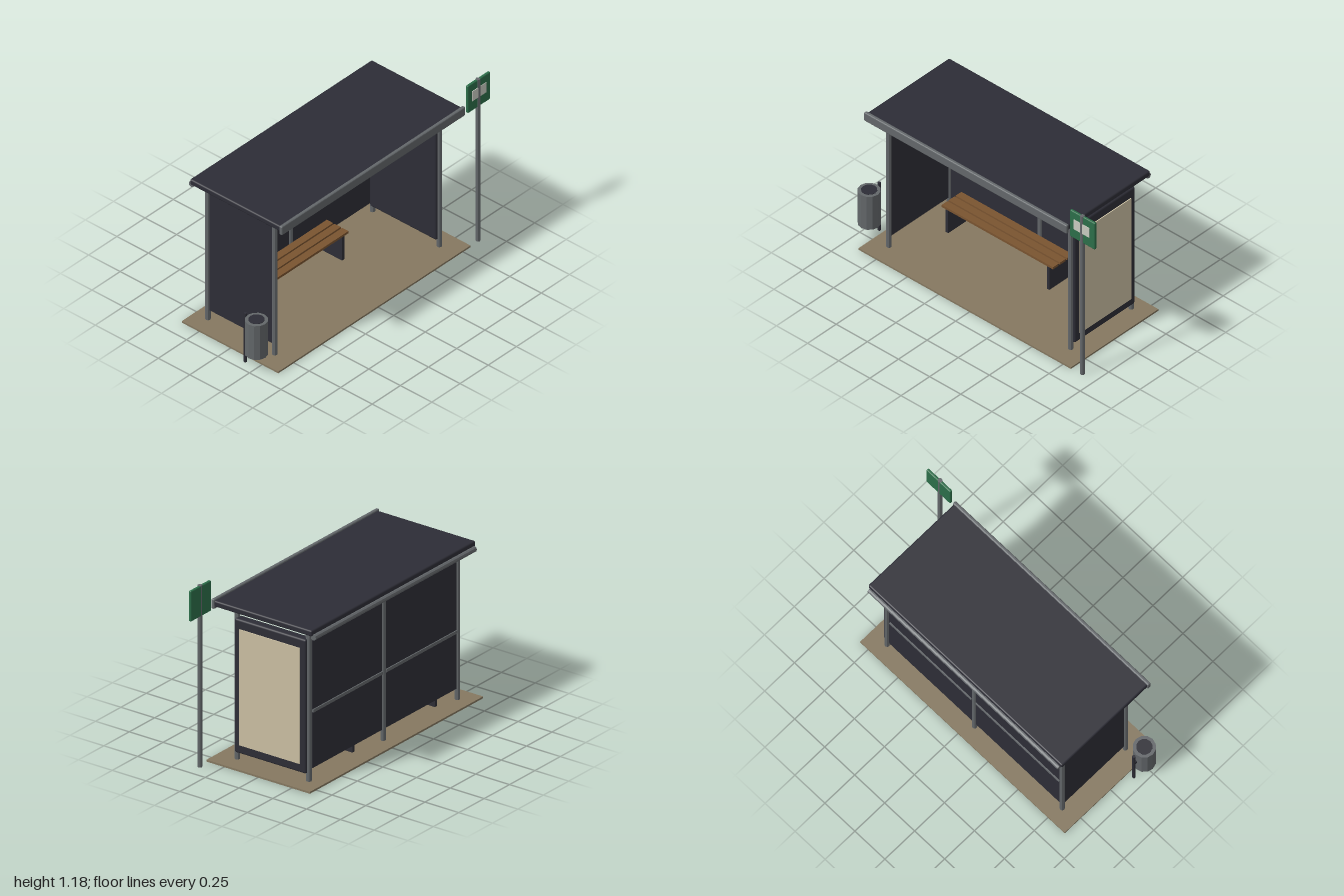
import * as THREE from 'three';
import { RoundedBoxGeometry } from 'three/addons/geometries/RoundedBoxGeometry.js';

const mat = (name, color) => {
  const m = new THREE.MeshStandardMaterial({ color });
  m.name = name;
  return m;
};

export function createModel() {
  const root = new THREE.Group();
  root.name = 'busShelter';

  const dark = mat('charcoal', 0x2d2d36);
  const steel = mat('steelGrey', 0x63676a);
  const paving = mat('paving', 0x857860);
  const paper = mat('posterCream', 0xcabfa2);
  const white = mat('offWhite', 0xc8cac0);
  const green = mat('signGreen', 0x2c6e49);
  const wood = mat('wood', 0x7a5430);
  [steel, green].forEach((m) => { m.flatShading = true; });

  const add = (name, geo, material, x, y, z, parent = root) => {
    const mesh = new THREE.Mesh(geo, material);
    mesh.name = name;
    mesh.position.set(x, y, z);
    parent.add(mesh);
    return mesh;
  };
  // Box given by its extents on each axis
  const span = (name, material, [x0, x1], [y0, y1], [z0, z1], round = 0, parent = root) => {
    const size = [x1 - x0, y1 - y0, z1 - z0];
    const geo = round ? new RoundedBoxGeometry(...size, 2, round) : new THREE.BoxGeometry(...size);
    return add(name, geo, material, (x0 + x1) / 2, (y0 + y1) / 2, (z0 + z1) / 2, parent);
  };
  const rod = (name, material, r, x, y0, y1, z, sides = 8, parent = root) =>
    add(name, new THREE.CylinderGeometry(r, r, y1 - y0, sides), material, x, (y0 + y1) / 2, z, parent);

  // Ground slab
  span('groundSlab', paving, [-0.89, 0.815], [0, 0.012], [-0.385, 0.38]);

  // Posts: four corners and one in the middle of the back
  const backZ = -0.285, frontZ = 0.245;
  [[-0.77, frontZ], [0.69, frontZ], [-0.77, backZ], [-0.04, backZ], [0.69, backZ]].forEach(
    ([x, z]) => rod('post', steel, 0.0165, x, 0, 1.0, z));

  // Roof with front fascia and rear gutter
  span('roof', dark, [-0.845, 0.77], [0.996, 1.035], [-0.364, 0.365], 0.01);
  span('fascia', steel, [-0.853, 0.776], [0.982, 1.045], [0.352, 0.376], 0.008);
  const gutter = add('gutter', new THREE.CylinderGeometry(0.019, 0.019, 1.585, 10), steel, -0.037, 0.988, -0.366);
  gutter.rotation.z = Math.PI / 2;

  // Rear header, middle rail and wall panels
  span('rearHeader', steel, [-0.785, 0.705], [0.946, 0.996], [backZ - 0.015, backZ + 0.015]);
  [[-0.753, -0.057], [-0.023, 0.66]].forEach((xs) => {
    span('backPanel', dark, xs, [0.085, 0.936], [backZ - 0.005, backZ + 0.005]);
    span('middleRail', steel, xs, [0.447, 0.467], [backZ - 0.012, backZ + 0.012]);
  });
  span('leftPanel', dark, [-0.775, -0.765], [0.085, 0.936], [-0.27, 0.23]);

  // Advertising case on the left-hand end
  span('posterCase', dark, [0.66, 0.722], [0.065, 0.936], [-0.284, 0.244], 0.012);
  span('poster', paper, [0.72, 0.729], [0.123, 0.875], [-0.243, 0.205]);

  // Timetable frame on the back wall
  const frame = new THREE.Group();
  frame.name = 'timetableFrame';
  root.add(frame);
  const fz = [-0.28, -0.262];
  [[-0.667, -0.648], [-0.483, -0.464]].forEach((xs) => span('frameSide', white, xs, [0.492, 0.77], fz, 0, frame));
  [[0.492, 0.526], [0.736, 0.77]].forEach((ys) => span('frameBar', white, [-0.648, -0.483], ys, fz, 0, frame));

  // Bench: slats on two slab legs
  const bench = new THREE.Group();
  bench.name = 'bench';
  root.add(bench);
  for (let i = 0; i < 3; i++) {
    const z = -0.228 + i * 0.061;
    span('benchSlat', wood, [-0.645, 0.248], [0.185, 0.201], [z - 0.025, z + 0.025], 0, bench);
  }
  [-0.607, 0.205].forEach((x) =>
    span('benchLeg', dark, [x - 0.01, x + 0.01], [0, 0.186], [-0.248, -0.085], 0, bench));

  // Litter bin hung on its own short post
  const bin = new THREE.Group();
  bin.name = 'litterBin';
  root.add(bin);
  rod('binBody', steel, 0.07, -0.93, 0.103, 0.349, 0.243, 12, bin);
  rod('binOpening', dark, 0.049, -0.93, 0.345, 0.352, 0.243, 12, bin);
  rod('binPost', dark, 0.01, -0.93, 0, 0.355, 0.155, 8, bin);
  span('binBracket', dark, [-0.938, -0.922], [0.22, 0.25], [0.155, 0.185], 0, bin);

  // Stop sign plate on a tall pole
  const sign = new THREE.Group();
  sign.name = 'stopSign';
  root.add(sign);
  rod('signPole', steel, 0.0145, 0.896, 0, 1.181, 0.367, 8, sign);
  span('signPlate', green, [0.8, 1.0], [0.981, 1.179], [0.355, 0.374], 0.007, sign);
  span('signLabel', white, [0.834, 0.96], [1.054, 1.125], [0.372, 0.378], 0, sign);

  return root;
}
